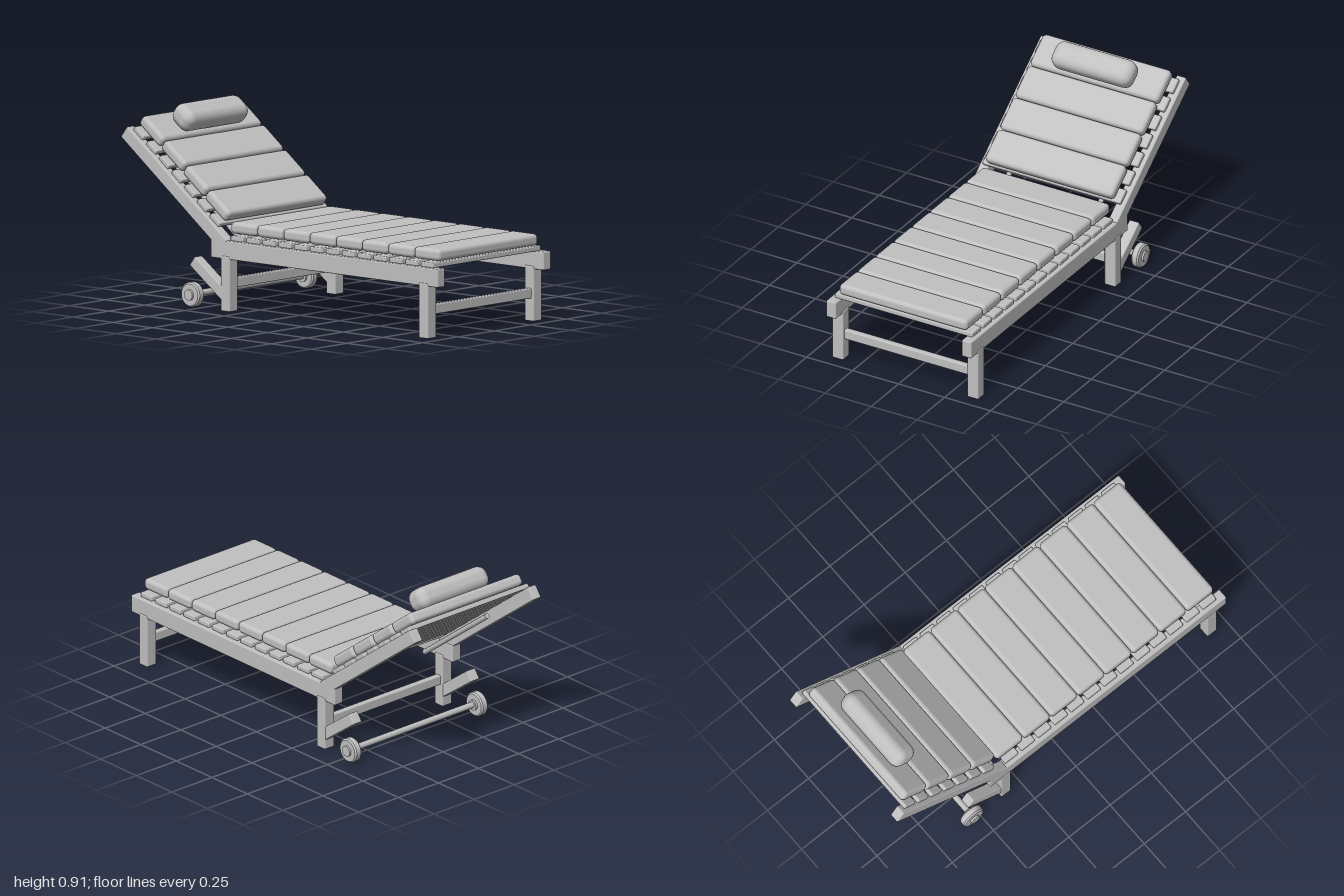
import * as THREE from 'three';
import { RoundedBoxGeometry } from 'three/addons/geometries/RoundedBoxGeometry.js';

const grey = new THREE.MeshStandardMaterial({ color: 0xc0c0c0 });
grey.name = 'plain grey';

function add(parent, name, geometry, x, y, z) {
  const mesh = new THREE.Mesh(geometry, grey);
  mesh.name = name;
  mesh.position.set(x, y, z);
  parent.add(mesh);
  return mesh;
}

// softly rounded block given by its size and centre
function block(parent, name, [w, h, d], [x, y, z], radius = 0.006, segments = 2) {
  return add(parent, name, new RoundedBoxGeometry(w, h, d, segments, radius), x, y, z);
}

// rod or disc lying along x
function discX(parent, name, radius, length, x, y, z, sides = 24) {
  const geometry = new THREE.CylinderGeometry(radius, radius, length, sides).rotateZ(Math.PI / 2);
  return add(parent, name, geometry, x, y, z);
}

// wheel with bevelled tyre edges, axis along x; doubled points keep the edges crisp
function wheel(parent, side) {
  const profile = [[0, -0.02], [0.052, -0.02], [0.052, -0.02], [0.059, -0.013], [0.059, -0.013],
    [0.059, 0.013], [0.059, 0.013], [0.052, 0.02], [0.052, 0.02], [0, 0.02]]
    .map(([r, y]) => new THREE.Vector2(r, y));
  const geometry = new THREE.LatheGeometry(profile, 28).rotateZ(Math.PI / 2);
  add(parent, 'wheel', geometry, side * 0.395, 0.063, -0.545);
  discX(parent, 'wheelHub', 0.026, 0.06, side * 0.395, 0.063, -0.545, 16);
}

export function createModel() {
  const model = new THREE.Group();
  model.name = 'sunLounger';

  const frame = new THREE.Group();
  frame.name = 'frame';
  const seat = new THREE.Group();
  seat.name = 'seat';
  const back = new THREE.Group();
  back.name = 'backrest';
  model.add(frame, seat, back);

  // side rails, legs, wheel braces and wheels
  for (const side of [-1, 1]) {
    block(frame, 'sideRail', [0.053, 0.087, 1.432], [side * 0.3685, 0.2935, 0.284]);
    for (const z of [0.912, -0.338]) {
      block(frame, 'leg', [0.06, 0.262, 0.058], [side * 0.3675, 0.134, z]);
    }
    const brace = block(frame, 'wheelBrace', [0.053, 0.055, 0.255], [side * 0.3675, 0.146, -0.447]);
    brace.rotation.x = 0.63;
    wheel(frame, side);
  }

  // cross bars and axle
  for (const z of [0.912, -0.338]) {
    block(frame, 'crossBar', [0.69, 0.048, 0.03], [0, 0.135, z]);
  }
  discX(frame, 'axle', 0.015, 0.78, 0, 0.065, -0.545, 16);

  // seat slats and cushions
  for (let i = 0; i < 13; i++) {
    block(seat, 'seatSlat', [0.75, 0.025, 0.08], [0, 0.348, 0.915 - i * 0.1]);
  }
  for (let i = 0; i < 8; i++) {
    block(seat, 'seatCushion', [0.695, 0.056, 0.163], [0, 0.392, 0.884 - i * 0.165], 0.02, 3);
  }

  // backrest: origin at the top end of its rails, local +z runs down the rails
  back.position.set(0, 0.787, -0.977);
  back.rotation.x = 0.647;
  for (const side of [-1, 1]) {
    block(back, 'backRail', [0.05, 0.066, 0.79], [side * 0.37, 0, 0.393]);
    const rod = add(back, 'supportRod', new THREE.CylinderGeometry(0.013, 0.013, 0.55, 8),
      side * 0.25, -0.003, 0.525);
    rod.rotation.x = Math.PI / 2;
  }
  for (let i = 0; i < 7; i++) {
    block(back, 'backSlat', [0.75, 0.024, 0.074], [0, 0.043, 0.06 + i * 0.1]);
  }
  for (let i = 0; i < 4; i++) {
    block(back, 'backCushion', [0.695, 0.056, 0.169], [0, 0.084, 0.095 + i * 0.172], 0.02, 3);
  }

  // head pillow
  block(back, 'headPillow', [0.43, 0.108, 0.13], [0, 0.163, 0.111], 0.045, 3);

  return model;
}
